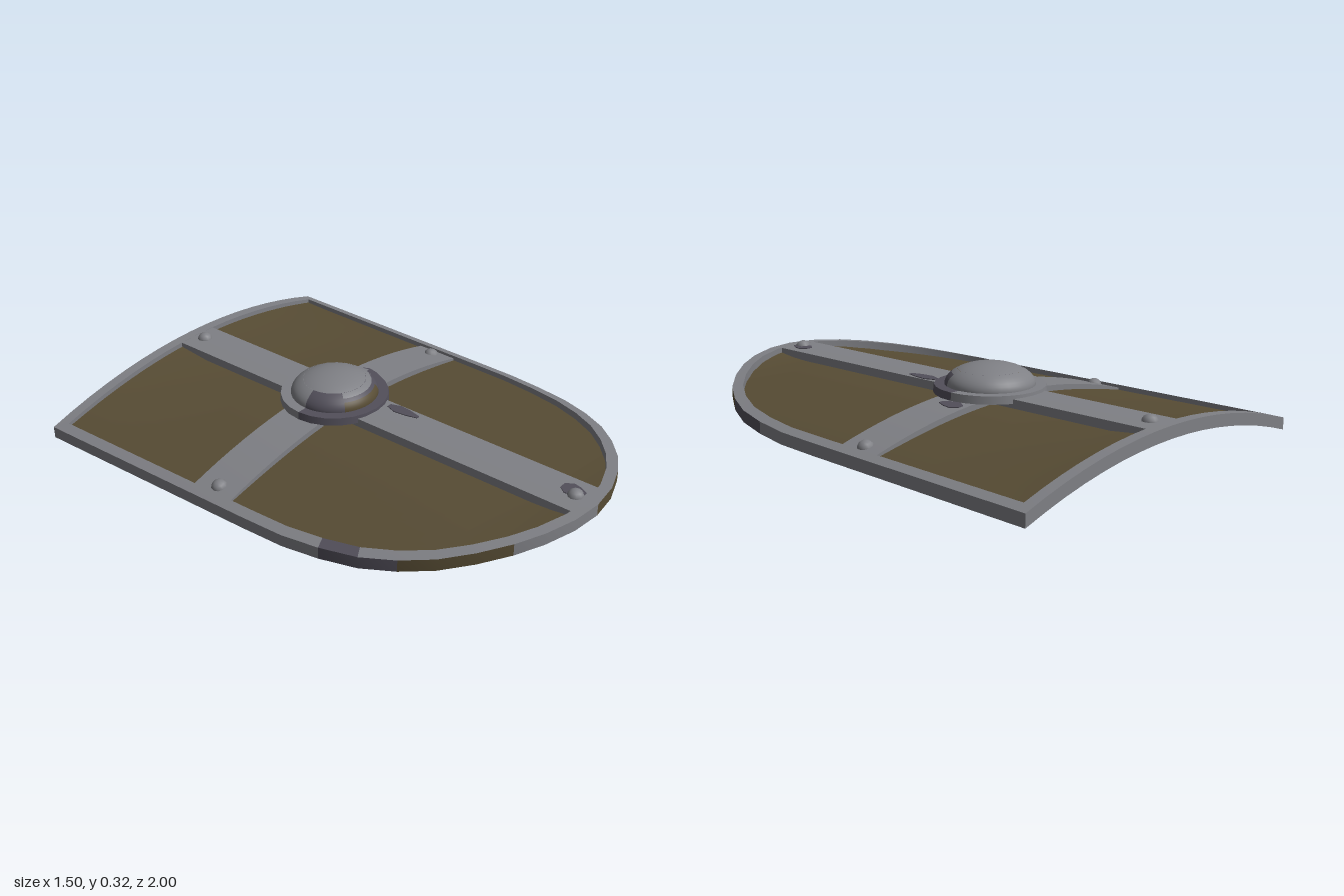
import * as THREE from 'three';
import { toCreasedNormals } from 'three/addons/utils/BufferGeometryUtils.js';

const mat = (name, color) => Object.assign(new THREE.MeshStandardMaterial({ color }), { name });

// Height of the curved shield edge across its width
const height = (x) => 0.225 - 0.21 * x * x;

// How far the board sinks below its edge
const sag = (x, z) => 0.02 * (1 - (x / 0.75) ** 4) * Math.min(1, (1 - Math.abs(z)) * 6);

// Right half of the outline as [x, z], from the back corner to the round tip
const HALF = [[0.75, -1], [0.745, -0.83], [0.735, -0.5], [0.72, 0], [0.712, 0.18], [0.69, 0.33],
  [0.655, 0.475], [0.6, 0.6], [0.53, 0.71], [0.44, 0.805], [0.34, 0.885], [0.24, 0.942],
  [0.12, 0.985], [0, 1]];

// Skin a row of sections; ends are closed as strips unless the row is a loop
function loft(rings, loop = false) {
  const out = [];
  const n = rings[0].length;
  const tri = (...pts) => pts.forEach((p) => out.push(...p));
  for (let i = 0; i < rings.length - (loop ? 0 : 1); i++) {
    const r = rings[i], s = rings[(i + 1) % rings.length];
    for (let j = 0; j < n; j++) {
      const k = (j + 1) % n;
      tri(r[j], s[j], r[k]);
      tri(r[k], s[j], s[k]);
    }
  }
  if (!loop) {
    const a = rings[0], b = rings[rings.length - 1];
    for (let j = 0; j < n / 2 - 1; j++) {
      const k = n - 1 - j;
      tri(a[j], a[j + 1], a[k - 1]);
      tri(a[j], a[k - 1], a[k]);
      tri(b[j], b[k - 1], b[j + 1]);
      tri(b[j], b[k], b[k - 1]);
    }
  }
  const g = new THREE.BufferGeometry();
  g.setAttribute('position', new THREE.Float32BufferAttribute(out, 3));
  return toCreasedNormals(g, 0.6);
}

// Plate bent over the shield face; rows are [halfWidth, z]
function plate(rows, top, bottom, cols, cx = 0, sink = () => 0) {
  return loft(rows.map(([w, z]) => {
    const upper = [], lower = [];
    for (let i = 0; i <= cols; i++) {
      const x = cx + w * (2 * i / cols - 1);
      const y = height(x) - sink(x, z);
      upper.push([x, y + top, z]);
      lower.unshift([x, y + bottom, z]);
    }
    return [...upper, ...lower];
  }));
}

// Finish of one rim face: 0 steel, 1 bare wood, 2 tarnish
function rimFinish(face, x, z) {
  const outer = face === 1, under = face === 2;
  if (under && z < -0.9 && x > 0.15 && x < 0.4) return 2;
  if (z < 0.33) return 0;
  if (z < 0.6) return outer || (face === 0 && x < 0 && z < 0.45) ? 2 : under ? 1 : 0;
  if (outer) return x > -0.3 && x < 0 ? 0 : 1;
  if (under) return x > -0.5 && x < -0.1 ? 2 : 1;
  return 0;
}

// Edge running round the whole outline, worn bare around the tip
function rimGeometry() {
  const path = [...HALF, ...HALF.slice(0, -1).reverse().map(([x, z]) => [-x, z])];
  for (let i = 1; i < 16; i++) path.push([-0.75 + 1.5 * i / 16, -1]);
  const g = loft(path.map(([x, z]) => {
    const xi = x * 0.943, zi = z * 0.957;
    return [[xi, height(xi) + 0.007, zi], [x, height(x) + 0.007, z],
      [x, height(x) - 0.04, z], [xi, height(xi) - 0.04, zi]];
  }), true);
  path.forEach(([x, z], i) => {
    const [x2, z2] = path[(i + 1) % path.length];
    for (let face = 0; face < 4; face++) {
      g.addGroup((i * 4 + face) * 6, 6, rimFinish(face, (x + x2) / 2, (z + z2) / 2));
    }
  });
  return g;
}

export function createModel() {
  const group = new THREE.Group();
  group.name = 'shield';
  const steel = mat('steel', 0x7f8085);
  const wood = mat('wood', 0x574c34);
  const tarnish = mat('tarnish', 0x524f5a);

  const add = (name, geometry, material, x = 0, y = 0, z = 0) => {
    const m = new THREE.Mesh(geometry, material);
    m.name = name;
    m.position.set(x, y, z);
    group.add(m);
    return m;
  };

  // Dished wooden board and metal edge
  add('board', plate(HALF.map(([x, z]) => [x * 0.975, z * 0.98]), -0.008, -0.037, 24, 0, sag), wood);
  add('rim', rimGeometry(), [steel, wood, tarnish]);

  // Cross bands
  add('longBand', plate([[0.09, -0.97], [0.09, 0.96]], 0.006, -0.03, 6), steel);
  add('crossBand', plate([[0.69, -0.28], [0.69, -0.1]], -0.005, -0.03, 20), steel);

  // Tarnished patches on the bands: x, z, half width, half length, lift
  [[0.06, 0.11, 0.025, 0.07, 0.009], [0.24, -0.21, 0.03, 0.05, -0.002], [0.02, 0.89, 0.035, 0.045, 0.009]]
    .forEach(([x, z, w, l, lift]) => add('tarnishPatch',
      plate([[w * 0.4, z - l], [w, z - l * 0.4], [w * 0.8, z + l * 0.3], [w * 0.3, z + l]],
        lift, lift - 0.008, 2, x), tarnish));

  // Central boss: flange with a tarnished front edge
  const half = (name, material, start) => add(name,
    new THREE.CylinderGeometry(0.212, 0.215, 0.03, 12, 1, false, start, Math.PI),
    material, 0, 0.228, -0.185);
  half('bossFlangeFront', tarnish, -Math.PI / 2);
  half('bossFlangeBack', steel, Math.PI / 2);

  // Shallow dome, worn at the front: arcs in turns round and in polar angle
  const dome = (name, material, from, to, top, bottom) => add(name,
    new THREE.SphereGeometry(1, 20, 6, from * Math.PI, (to - from) * Math.PI, top, bottom - top),
    material, 0, 0.243, -0.185).scale.set(0.172, 0.082, 0.172);
  const base = Math.PI / 2;
  dome('bossTop', steel, 0, 2, 0, 0.8);
  dome('bossBack', steel, 0.85, 2, 0.8, base);
  dome('bossShoulder', steel, 0.3, 0.85, 0.8, 1);
  dome('bossTarnishLeft', tarnish, 0, 0.3, 0.8, base);
  dome('bossTarnishRight', tarnish, 0.7, 0.85, 1, base);
  dome('bossTarnishFront', tarnish, 0.3, 0.7, 1, 1.15);
  dome('bossWornFront', wood, 0.3, 0.7, 1.15, base);

  // Rivets on the band ends
  [[0, -0.91, 0.002], [0, 0.91, 0.002], [0.64, -0.19, -0.012], [-0.64, -0.19, -0.012]]
    .forEach(([x, z, lift]) => {
      const r = add('rivet', new THREE.SphereGeometry(0.031, 10, 8), steel, x, height(x) + lift, z);
      r.scale.y = 0.9;
      r.rotation.z = -Math.atan(0.42 * x);
    });

  // Two slanted grip straps underneath, with riveted ends
  const angle = 0.96;
  [['armStrap', 0.29, -0.04, 0, 0.32], ['handStrap', -0.265, -0.48, 0.02, 0.31]]
    .forEach(([name, cx, cz, low, reach]) => {
      const dx = Math.cos(angle), dz = -Math.sin(angle);
      const under = (u) => height(cx + u * dx) - sag(cx + u * dx, cz + u * dz) - 0.037;
      const line = [-reach, -reach * 0.7, -0.035, 0.035, reach * 0.7, reach]
        .map((u, i) => [u, i === 2 || i === 3 ? low + 0.014 : under(u)]);
      const shape = new THREE.Shape([
        ...line.map(([u, y]) => new THREE.Vector2(u, y - 0.014)),
        ...line.map(([u, y]) => new THREE.Vector2(u * 0.97, y + 0.006)).reverse()]);
      const strap = add(name, new THREE.ExtrudeGeometry(shape, { depth: 0.08, bevelEnabled: false })
        .translate(0, 0, -0.04), wood, cx, 0, cz);
      strap.rotation.y = angle;
      [-0.85, 0.85].forEach((f) => {
        const u = f * reach;
        add('strapRivet', new THREE.SphereGeometry(0.018, 8, 6), steel,
          cx + u * dx, under(u) - 0.012, cz + u * dz);
      });
    });

  return group;
}
